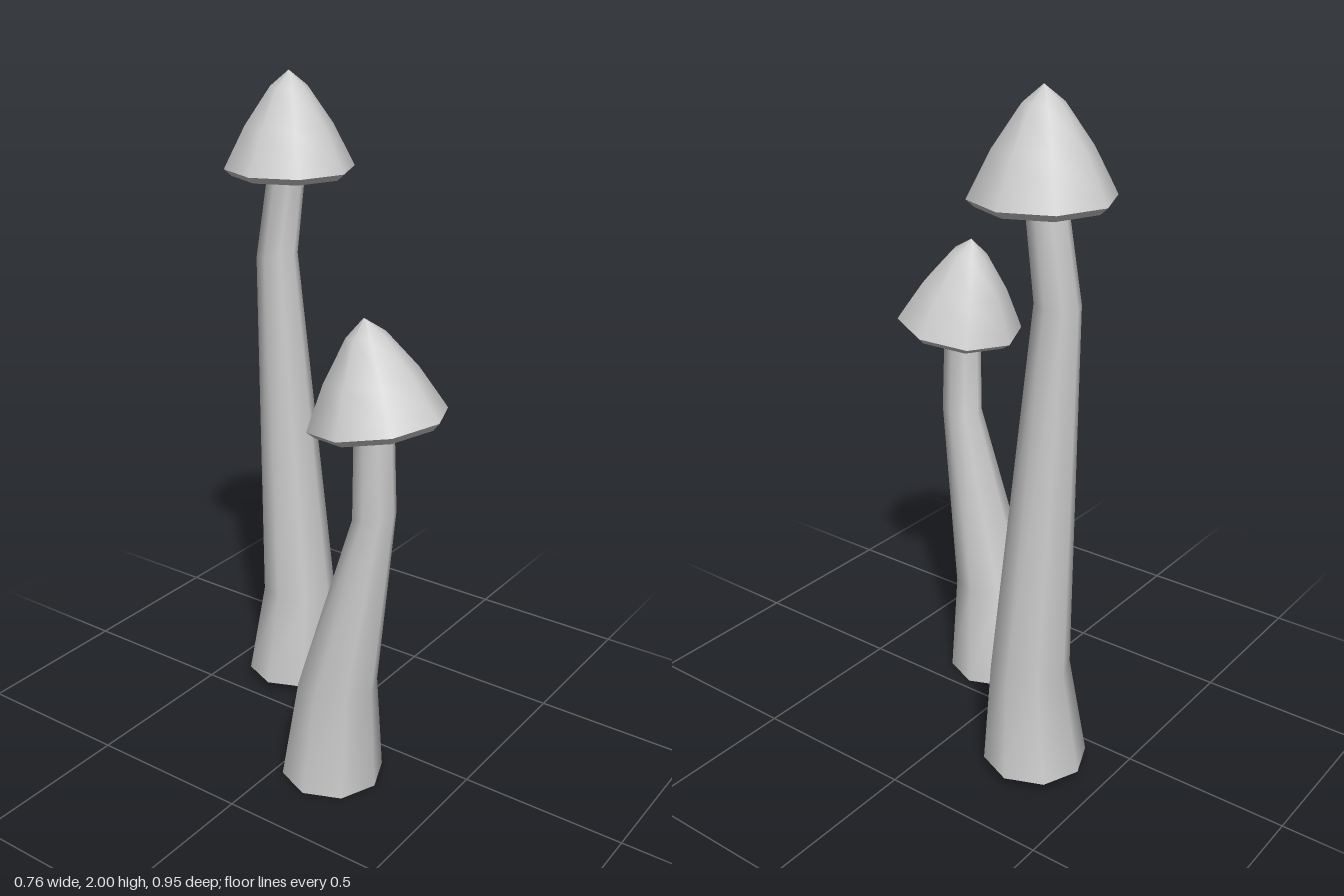
import * as THREE from 'three';

const SIDES = 8;

export function createModel() {
  const grey = new THREE.MeshStandardMaterial({ color: 0xcccccc, side: THREE.DoubleSide });
  grey.name = 'pale grey';

  // Open eight-sided tube; each ring is [y, z, radius, tilt]
  function stemGeometry(rings) {
    const pos = [], index = [];
    rings.forEach(([y, z, r, tilt], i) => {
      for (let j = 0; j < SIDES; j++) {
        const a = (j / SIDES) * Math.PI * 2;
        const dz = r * Math.cos(a);
        pos.push(r * Math.sin(a), y + dz * tilt, z + dz);
        if (i === 0) continue;
        const k = (j + 1) % SIDES, lo = (i - 1) * SIDES, hi = i * SIDES;
        index.push(lo + j, lo + k, hi + k, lo + j, hi + k, hi + j);
      }
    });
    const g = new THREE.BufferGeometry();
    g.setAttribute('position', new THREE.Float32BufferAttribute(pos, 3));
    g.setIndex(index);
    g.computeVertexNormals();
    return g;
  }

  // Cap profiles [radius, height], measured from the widest rim
  const capProfiles = {
    capUnderside: [[0.045, 0.07], [0.11, 0.05], [0.155, 0.005], [0.172, -0.02]],
    capLip: [[0.172, -0.02], [0.194, 0]],
    capDome: [[0.194, 0], [0.178, 0.032], [0.13, 0.125], [0.054, 0.235], [0, 0.279]],
  };

  function mushroom(name, x, rings, capY, capZ, capTilt) {
    const group = new THREE.Group();
    group.name = name;
    group.position.x = x;

    const stem = new THREE.Mesh(stemGeometry(rings), grey);
    stem.name = 'stem';
    group.add(stem);

    const cap = new THREE.Group();
    cap.name = 'cap';
    cap.position.set(0, capY, capZ);
    cap.rotation.x = capTilt;
    for (const [part, points] of Object.entries(capProfiles)) {
      const profile = points.map(([r, y]) => new THREE.Vector2(r, y));
      const mesh = new THREE.Mesh(new THREE.LatheGeometry(profile, SIDES), grey);
      mesh.name = part;
      cap.add(mesh);
    }
    group.add(cap);
    return group;
  }

  const model = new THREE.Group();
  model.name = 'mushrooms';
  model.add(
    mushroom('tallMushroom', 0.184, [
      [0.035, -0.28, 0.153, 0],
      [0.34, -0.26, 0.116, 0],
      [1.45, -0.333, 0.063, 0.12],
      [1.8, -0.279, 0.054, 0],
    ], 1.721, -0.281, 0),
    mushroom('shortMushroom', -0.186, [
      [0, 0.138, 0.153, 0],
      [0.315, 0.157, 0.118, -0.04],
      [0.888, 0.278, 0.062, 0.2],
      [1.24, 0.272, 0.054, 0.17],
    ], 1.17, 0.284, -0.17),
  );
  return model;
}
